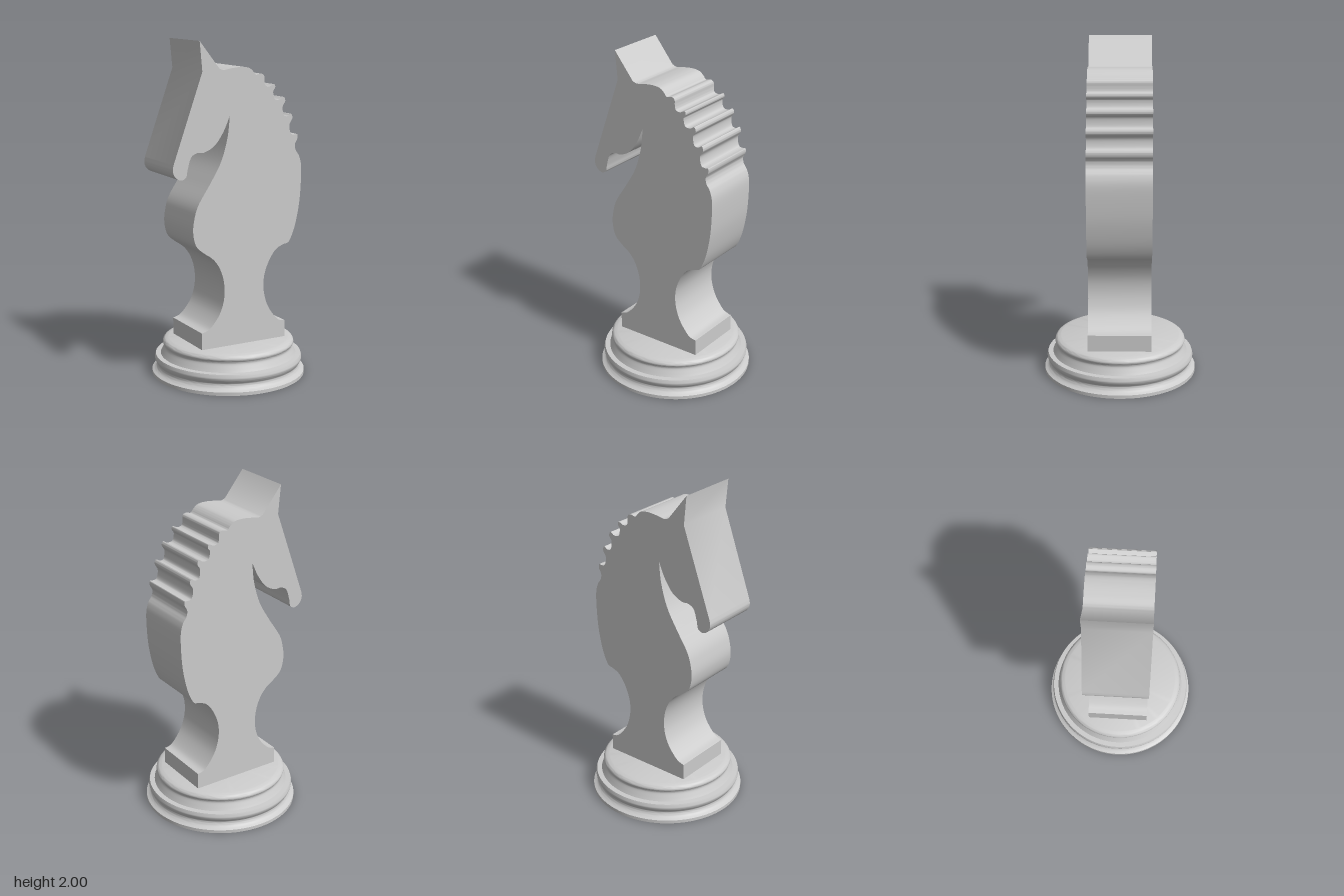
import * as THREE from 'three';
import { toCreasedNormals } from 'three/addons/utils/BufferGeometryUtils.js';

const DEPTH = 0.374;
const material = new THREE.MeshStandardMaterial({ color: 0xcccccc });
const toVectors = (points) => points.map(([x, y]) => new THREE.Vector2(x, y));

function addMesh(group, name, geometry) {
  const mesh = new THREE.Mesh(toCreasedNormals(geometry, 0.6), material);
  mesh.name = name;
  group.add(mesh);
}

// Horse silhouette: runs of smooth curve that meet at sharp corners
function horseShape() {
  const foot = [[0.285, 0.22], [0.285, 0.32]];
  const waistRight = [
    [0.235, 0.335], [0.175, 0.41], [0.145, 0.485], [0.135, 0.56], [0.145, 0.635],
    [0.18, 0.715], [0.225, 0.77], [0.28, 0.793],
  ];
  const back = [[0.31, 0.805], [0.345, 0.88], [0.37, 0.98], [0.385, 1.09], [0.39, 1.24], [0.375, 1.31]];
  const mane = [
    [0.35, 1.35], [0.345, 1.385], [0.36, 1.415], [0.36, 1.442], [0.342, 1.442], [0.315, 1.45],
    [0.305, 1.5], [0.325, 1.54], [0.315, 1.565], [0.293, 1.552], [0.265, 1.56],
    [0.258, 1.61], [0.275, 1.64], [0.265, 1.665], [0.238, 1.651], [0.203, 1.657],
    [0.193, 1.7], [0.206, 1.722], [0.2, 1.742], [0.168, 1.73], [0.14, 1.737],
    [0.133, 1.765], [0.131, 1.795], [0.11, 1.806], [0.078, 1.8], [0.06, 1.82],
  ];
  const poll = [[0.03, 1.842], [-0.02, 1.848], [-0.08, 1.843], [-0.13, 1.835], [-0.16, 1.845]];
  const ear = [[-0.283, 2], [-0.267, 1.83]];
  const muzzle = [
    [-0.45, 1.32], [-0.455, 1.285], [-0.44, 1.25], [-0.405, 1.23], [-0.372, 1.245],
    [-0.362, 1.29], [-0.34, 1.355], [-0.3, 1.378],
  ];
  const jaw = [[-0.255, 1.378], [-0.19, 1.412], [-0.135, 1.485], [-0.093, 1.575]];
  const chest = [
    [-0.108, 1.45], [-0.15, 1.315], [-0.22, 1.195], [-0.295, 1.08], [-0.322, 1.0],
    [-0.33, 0.92], [-0.31, 0.84], [-0.255, 0.79],
  ];
  const waistLeft = [
    [-0.205, 0.755], [-0.165, 0.705], [-0.137, 0.635], [-0.127, 0.56], [-0.135, 0.485],
    [-0.165, 0.41], [-0.225, 0.34], [-0.277, 0.32],
  ];

  const shape = new THREE.Shape();
  shape.moveTo(-0.277, 0.22);
  foot.forEach(([x, y]) => shape.lineTo(x, y));
  shape.splineThru(toVectors(waistRight));
  shape.splineThru(toVectors([...back, ...mane, ...poll]));
  ear.forEach(([x, y]) => shape.lineTo(x, y));
  shape.lineTo(...muzzle[0]);
  shape.splineThru(toVectors([...muzzle.slice(1), ...jaw]));
  shape.splineThru(toVectors(chest));
  shape.splineThru(toVectors(waistLeft));
  shape.closePath();
  return shape;
}

// Turned base: stacked mouldings with a rounded upper lip
function baseGeometry() {
  const lower = new THREE.SplineCurve(toVectors([
    [0.46, 0.02], [0.437, 0.035], [0.427, 0.058], [0.437, 0.075], [0.444, 0.095], [0.438, 0.118],
  ]));
  const upper = new THREE.SplineCurve(toVectors([
    [0.408, 0.12], [0.398, 0.14], [0.386, 0.17], [0.395, 0.19], [0.385, 0.21], [0.358, 0.22],
  ]));
  const profile = [
    new THREE.Vector2(0, 0), new THREE.Vector2(0.46, 0),
    ...lower.getPoints(20), ...upper.getPoints(20), new THREE.Vector2(0, 0.22),
  ];
  return new THREE.LatheGeometry(profile, 96);
}

export function createModel() {
  const group = new THREE.Group();
  group.name = 'knightChessPiece';

  addMesh(group, 'base', baseGeometry());

  const horse = new THREE.ExtrudeGeometry(horseShape(), {
    depth: DEPTH, bevelEnabled: false, curveSegments: 5,
  });
  horse.translate(0, 0, -DEPTH / 2);
  addMesh(group, 'horse', horse);
  return group;
}
